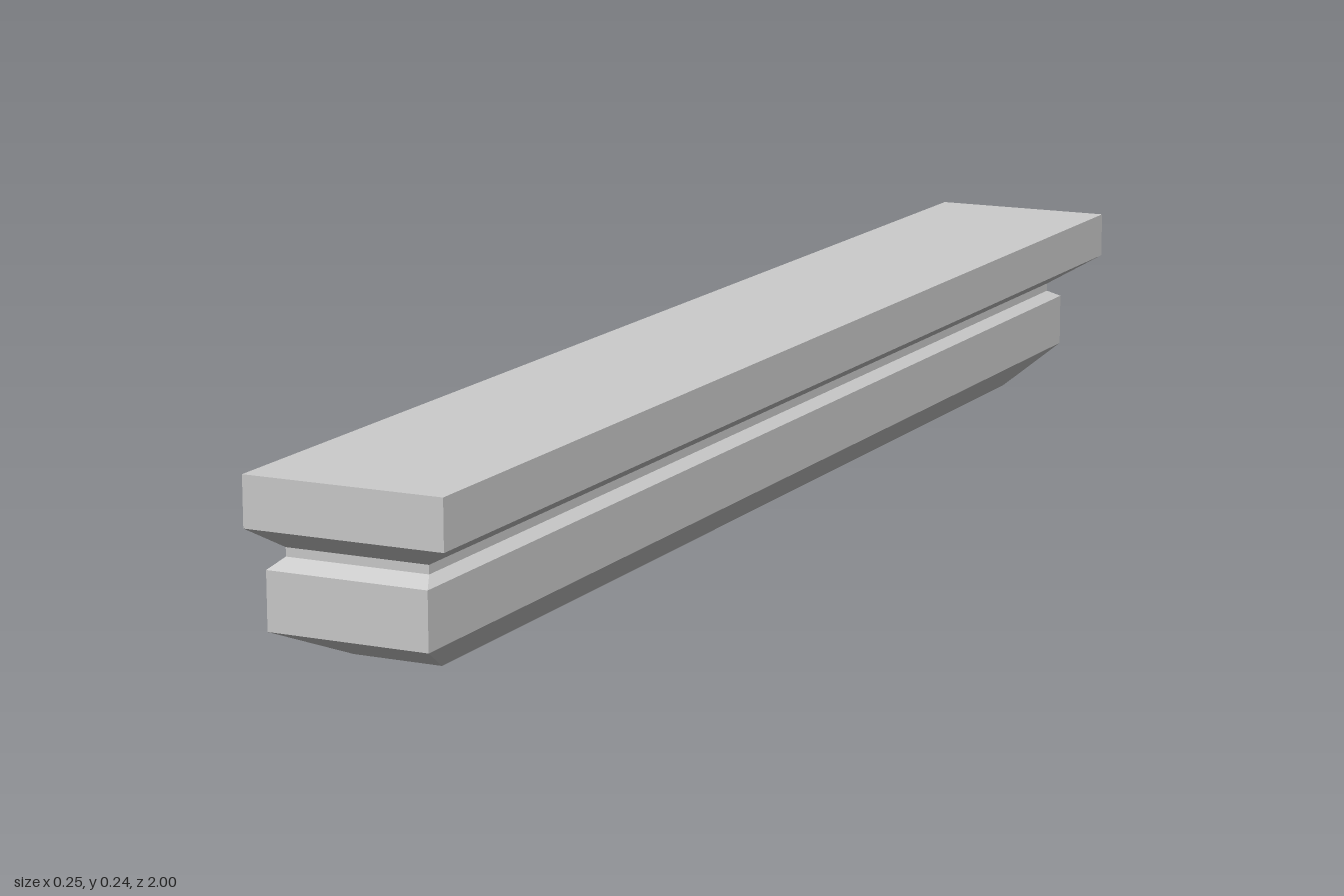
import * as THREE from 'three';

// Cross-section levels, bottom to top: height, back x, front x, half length
const LEVELS = [
  { y: 0.0, x0: -0.082, x1: 0.034, z: 0.845 },
  { y: 0.048, x0: -0.128, x1: 0.08, z: 0.955 },
  { y: 0.12, x0: -0.128, x1: 0.08, z: 0.955 },
  { y: 0.131, x0: -0.117, x1: 0.068, z: 0.93 },
  { y: 0.142, x0: -0.117, x1: 0.068, z: 0.93 },
  { y: 0.178, x0: -0.128, x1: 0.127, z: 1 },
  { y: 0.24, x0: -0.128, x1: 0.127, z: 1 },
];

// Corners of a level, running round the three closed sides
const corners = ({ y, x0, x1, z }) => [[x0, y, z], [x1, y, z], [x1, y, -z], [x0, y, -z]];

function quadsGeometry(quads) {
  const positions = quads.flatMap(([a, b, c, d]) => [a, b, c, a, c, d].flat());
  const geometry = new THREE.BufferGeometry();
  geometry.setAttribute('position', new THREE.Float32BufferAttribute(positions, 3));
  geometry.computeVertexNormals();
  return geometry;
}

// U-shaped band between two levels, open along the wall side (-x)
function band(low, high) {
  const a = corners(low), b = corners(high);
  return quadsGeometry([0, 1, 2].map((i) => [a[i], a[i + 1], b[i + 1], b[i]]));
}

export function createModel() {
  const group = new THREE.Group();
  group.name = 'cornice';

  const stone = new THREE.MeshStandardMaterial({ color: 0xcccccc, side: THREE.DoubleSide });
  stone.name = 'pale grey stone';

  const add = (name, geometry) => {
    const mesh = new THREE.Mesh(geometry, stone);
    mesh.name = name;
    group.add(mesh);
  };

  // Moulding bands
  const names = ['lowerBevel', 'lowerFascia', 'neckChamfer', 'neck', 'soffit', 'upperFascia'];
  names.forEach((name, i) => add(name, band(LEVELS[i], LEVELS[i + 1])));

  // Flat bottom and top
  add('bottomPanel', quadsGeometry([corners(LEVELS[0]).reverse()]));
  add('topPanel', quadsGeometry([corners(LEVELS[LEVELS.length - 1])]));

  return group;
}
